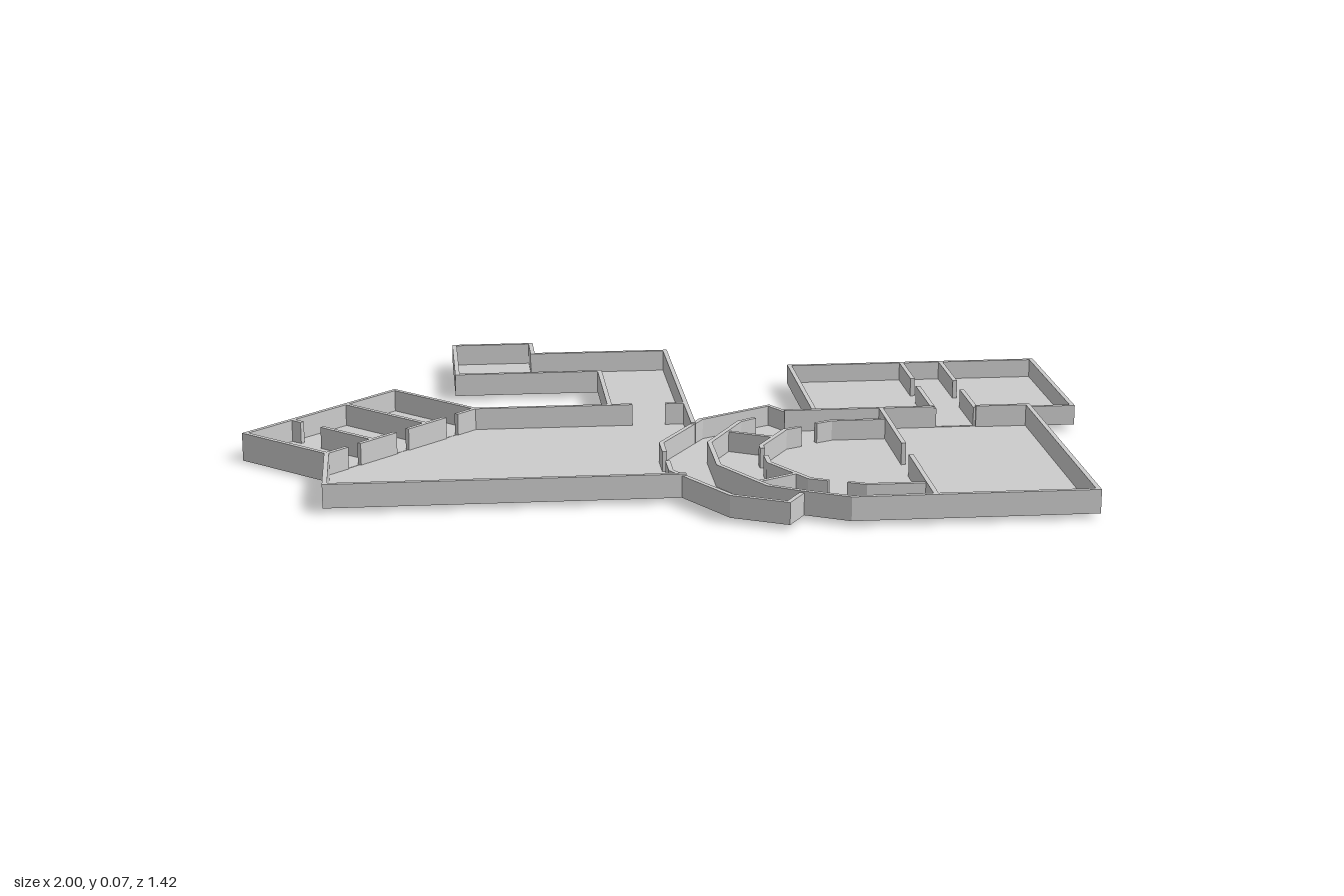
import * as THREE from 'three';

const T = 0.0055; // half wall thickness
const material = new THREE.MeshStandardMaterial({ color: 0xcccccc, flatShading: true });

// Raise a plan outline of [x, z] points from y0 to y1
function prism(outline, y0, y1, name, hole) {
  const toVec = ([x, z]) => new THREE.Vector2(x, -z);
  const shape = new THREE.Shape(outline.map(toVec));
  if (hole) shape.holes.push(new THREE.Path(hole.map(toVec)));
  const geometry = new THREE.ExtrudeGeometry(shape, { depth: y1 - y0, bevelEnabled: false });
  geometry.rotateX(-Math.PI / 2).translate(0, y0, 0);
  const mesh = new THREE.Mesh(geometry, material);
  mesh.name = name;
  return mesh;
}

// Offset a polyline sideways with mitred corners
function offset(points, d, closed) {
  const n = points.length;
  const normal = (a, b) => {
    const dx = b[0] - a[0], dz = b[1] - a[1], l = Math.hypot(dx, dz);
    return [-dz / l, dx / l];
  };
  return points.map((p, i) => {
    const prev = closed || i > 0 ? points[(i + n - 1) % n] : null;
    const next = closed || i < n - 1 ? points[(i + 1) % n] : null;
    const a = prev ? normal(prev, p) : normal(p, next);
    const b = next ? normal(p, next) : a;
    const k = d / (1 + a[0] * b[0] + a[1] * b[1]);
    return [p[0] + (a[0] + b[0]) * k, p[1] + (a[1] + b[1]) * k];
  });
}

// Wall of constant thickness along a plan polyline
function wall(points, y0, y1, name) {
  const outline = [...offset(points, T, false), ...offset(points, -T, false).reverse()];
  return prism(outline, y0, y1, name);
}

function section(name, y0, y1, floorY, floor, walls) {
  const group = new THREE.Group();
  group.name = name;
  group.add(prism(floor, floorY, floorY + 0.003, name + 'Floor'));
  walls.forEach((w) => group.add(wall(w, y0, y1, name + 'Wall')));
  return group;
}

const lerp = (a, b, t) => [a[0] + (b[0] - a[0]) * t, a[1] + (b[1] - a[1]) * t];

export function createModel() {
  const model = new THREE.Group();

  // Large hall on the right with the bent passage behind it
  model.add(section('westHall', 0.012, 0.067, 0.012, [
    [-0.8, 0.485], [-0.8, 0.25], [-0.45, -0.095], [-0.125, -0.095], [-0.125, -0.415],
    [-0.485, -0.415], [-0.485, -0.71], [-0.285, -0.71], [-0.285, -0.605], [0.06, -0.605],
    [0.06, 0.075], [-0.03, 0.225], [-0.03, 0.435], [0, 0.485],
  ], [
    [[-0.8, 0.245], [-0.8, 0.485], [0, 0.485]],
    [[-0.455, -0.095], [-0.125, -0.095], [-0.125, -0.415], [-0.485, -0.415], [-0.485, -0.71],
      [-0.285, -0.71], [-0.285, -0.605], [0.06, -0.605], [0.06, 0.08]],
    [[-0.125, -0.095], [-0.07, -0.095]],
    [[0.01, -0.095], [0.06, -0.095]],
  ]));

  // Turned wing of three small rooms; its walls reach below the floor
  const backA = [-0.992, 0.065], backB = [-0.643, -0.283];
  const frontA = [-0.8, 0.247], frontB = [-0.452, -0.095];
  const at = (t, s) => lerp(lerp(backA, backB, t), lerp(frontA, frontB, t), s);
  const doorWalls = [[0, 0.13], [0.21, 0.45], [0.53, 0.79], [0.87, 1]];
  model.add(section('turnedWing', 0, 0.067, 0.012, [backA, backB, frontB, frontA], [
    [frontA, backA, backB, frontB],
    ...doorWalls.map(([a, b]) => [at(a, 1), at(b, 1)]),
    [at(0.66, 0), at(0.66, 1)],
    [at(0.3, 0), at(0.3, 0.13)],
    [at(0.3, 0.38), at(0.3, 1)],
  ]));

  // Angular corridor wrapped round the rotunda
  const ring = [[0.3, -0.005], [0.17, 0.08], [0.08, 0.245], [0.08, 0.425], [0.17, 0.59], [0.24, 0.635]];
  const outer = [[0.295, -0.005], [0.26, -0.065], [0.083, 0.038], [-0.03, 0.225],
    [-0.03, 0.445], [0.083, 0.64], [0.2, 0.7], [0.24, 0.635]];
  model.add(section('corridor', 0.012, 0.063, 0.012, [...outer, ...ring.slice(0, -1).reverse()], [
    [...outer.slice(0, 4), [-0.03, 0.3]],
    [[-0.03, 0.37], ...outer.slice(4)],
  ]));

  // Hall on the left with its rotunda walls
  const hall = [[0.885, 0], [0.885, 0.688], [0.34, 0.688]];
  model.add(section('eastHall', 0.012, 0.067, 0.012, [...ring, ...hall.slice().reverse()], [
    [[0.757, 0], ...hall, ...ring.slice(1).reverse(), [0.21, 0.053]],
    [[0.29, -0.005], [0.36, -0.005], [0.655, -0.005]],
    [[0.525, 0], [0.525, 0.3]],
    [[0.525, 0.39], [0.525, 0.688]],
  ]));
  const rotunda = new THREE.Group();
  rotunda.name = 'rotunda';
  [
    [[0.525, 0.08], [0.39, 0.08], [0.35, 0.1]],
    [[0.31, 0.125], [0.27, 0.145], [0.197, 0.27], [0.197, 0.295]],
    [[0.197, 0.35], [0.197, 0.405], [0.27, 0.535], [0.31, 0.555]],
    [[0.35, 0.57], [0.39, 0.59], [0.525, 0.59]],
    [[0.13, 0.145], [0.237, 0.205]],
    [[0.145, 0.55], [0.25, 0.492]],
  ].forEach((w) => rotunda.add(wall(w, 0.012, 0.063, 'rotundaWall')));
  model.add(rotunda);

  // Back rooms either side of a short central passage
  model.add(section('backRooms', 0.014, 0.062, 0.014,
    [[0.365, -0.44], [0.995, -0.44], [0.995, 0], [0.365, 0]], [
      [[0.655, -0.005], [0.365, -0.005], [0.365, -0.44], [0.995, -0.44], [0.995, 0], [0.757, 0]],
      [[0.655, -0.44], [0.655, -0.28]],
      [[0.655, -0.21], [0.655, 0]],
      [[0.757, -0.44], [0.757, -0.25]],
      [[0.757, -0.165], [0.757, 0]],
    ]));

  return model;
}
